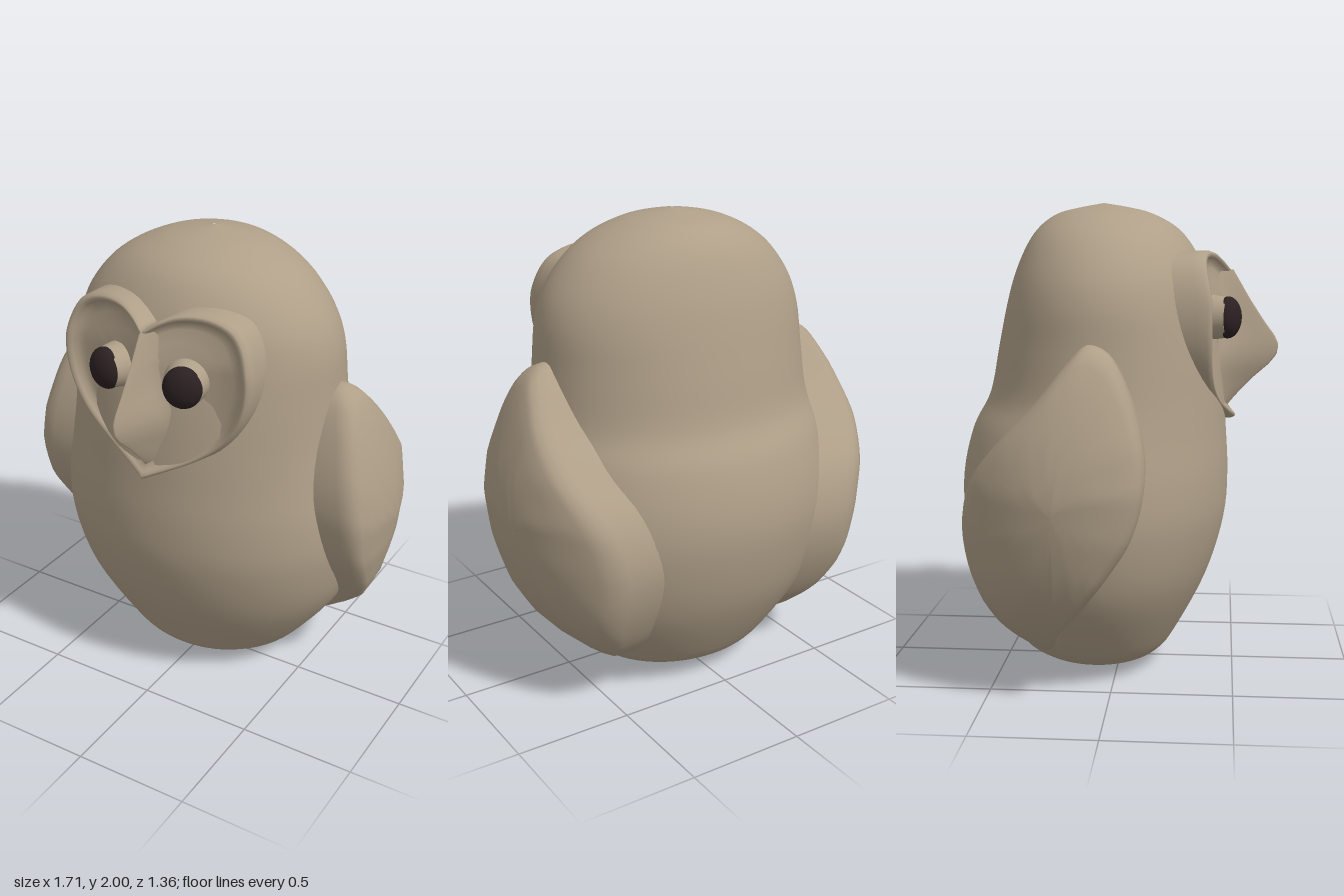
import * as THREE from 'three';

const feather = new THREE.MeshStandardMaterial({ color: 0xaf9f88 });
feather.name = 'feather';
const eyeDark = new THREE.MeshStandardMaterial({ color: 0x2b2022 });
eyeDark.name = 'eyeDark';

// Smooth skin over rings of points
function loft(name, rings, closed = true, material = feather) {
  const n = rings[0].length, index = [];
  for (let i = 0; i < rings.length - 1; i++) {
    for (let j = 0; j < (closed ? n : n - 1); j++) {
      const a = i * n + j, b = i * n + (j + 1) % n;
      index.push(a, a + n, b, b, a + n, b + n);
    }
  }
  const geo = new THREE.BufferGeometry().setFromPoints(rings.flat());
  geo.setIndex(index);
  geo.computeVertexNormals();
  const mesh = new THREE.Mesh(geo, material);
  mesh.name = name;
  return mesh;
}

const V = (x, y, z) => new THREE.Vector3(x, y, z);

// Piecewise linear table: [key, value] with rising keys
function table(rows, k) {
  if (k <= rows[0][0]) return rows[0][1];
  for (let i = 1; i < rows.length; i++) {
    const [k0, v0] = rows[i - 1], [k1, v1] = rows[i];
    if (k <= k1) return v0 + (v1 - v0) * (k - k0) / (k1 - k0);
  }
  return rows[rows.length - 1][1];
}

// Body and head: y, half width, front z, back z
function makeBody() {
  const rows = [
    [0, 0.005, -0.065, -0.075], [0.035, 0.25, 0.12, -0.28], [0.07, 0.35, 0.19, -0.38],
    [0.15, 0.45, 0.25, -0.46], [0.4, 0.63, 0.38, -0.6], [0.65, 0.70, 0.455, -0.67],
    [0.85, 0.70, 0.47, -0.68], [1.05, 0.66, 0.46, -0.635], [1.2, 0.625, 0.45, -0.56],
    [1.4, 0.605, 0.43, -0.52], [1.57, 0.59, 0.4, -0.485], [1.7, 0.545, 0.37, -0.45],
    [1.82, 0.455, 0.31, -0.4], [1.9, 0.35, 0.24, -0.345], [1.955, 0.23, 0.14, -0.27],
    [1.98, 0.13, 0.05, -0.18], [2, 0.005, -0.065, -0.075],
  ];
  const spine = new THREE.CatmullRomCurve3(rows.map(([y, w, f, b]) => V(w, y, (f + b) / 2)), false, 'catmullrom');
  const depth = new THREE.CatmullRomCurve3(rows.map(([y, , f, b]) => V((f - b) / 2, y, 0)), false, 'catmullrom');
  const rings = [];
  for (let i = 0; i <= 80; i++) {
    const s = spine.getPoint(i / 80), d = depth.getPoint(i / 80).x, ring = [];
    for (let j = 0; j < 72; j++) {
      const a = j / 72 * Math.PI * 2;
      ring.push(V(s.x * Math.cos(a), Math.max(0, s.y), s.z + d * Math.sin(a)));
    }
    rings.push(ring);
  }
  return loft('body', rings);
}

// Wing: leaf outline in (z, y), domed outward
function makeWing(side) {
  const leaf = [
    [-0.26, 0.15], [-0.19, 0.27], [-0.09, 0.41], [0.01, 0.55], [0.1, 0.7], [0.15, 0.9],
    [0.14, 1.08], [0.07, 1.3], [0, 1.41], [-0.08, 1.44], [-0.15, 1.38], [-0.27, 1.23],
    [-0.42, 1.07], [-0.55, 0.9], [-0.595, 0.7], [-0.56, 0.5], [-0.46, 0.3], [-0.35, 0.19],
  ];
  const outer = [[0.12, 0.46], [0.2, 0.53], [0.3, 0.645], [0.4, 0.73], [0.52, 0.79], [0.7, 0.835],
    [0.88, 0.855], [1.05, 0.83], [1.25, 0.765], [1.38, 0.71], [1.45, 0.66]];
  const outline = new THREE.CatmullRomCurve3(leaf.map(([z, y]) => V(0, y, z)), true).getPoints(72).slice(0, -1);
  // [scale of the outline, depth below the outer surface]
  const steps = [[0.97, 0.3], [0.99, 0.15], [1, 0.07], [0.99, 0.035], [0.95, 0.012], [0.88, 0],
    [0.7, 0], [0.5, 0], [0.3, 0], [0.12, 0], [0.001, 0]];
  const rings = steps.map(([s, drop]) => {
    const ring = outline.map((p) => {
      const y = 0.8 + (p.y - 0.8) * s, z = -0.2 + (p.z + 0.2) * s;
      const x = table(outer, y) * Math.sqrt(1 - ((z + 0.1) / 0.72) ** 2) - drop;
      return V(side * x, y, z);
    });
    return side > 0 ? ring : ring.reverse();
  });
  return loft(side > 0 ? 'leftWing' : 'rightWing', rings);
}

// Height of the facial disc rim
const rimZ = (x, y) => 0.4 + 0.1 * Math.max(0, 1 - Math.abs(x) / 0.43) ** 2 - 0.2 * Math.max(0, y - 1.6);

// Heart-shaped facial disc with raised rim
function makeFace() {
  const half = new THREE.CatmullRomCurve3([
    [0, 1.725], [0.06, 1.765], [0.14, 1.795], [0.26, 1.795], [0.36, 1.755], [0.415, 1.67], [0.435, 1.55],
    [0.41, 1.41], [0.335, 1.28], [0.2, 1.175], [0.08, 1.115], [0, 1.08],
  ].map(([x, y]) => V(x, y, 0))).getPoints(44);
  const heart = [...half, ...half.slice(1, -1).reverse().map((p) => V(-p.x, p.y, 0))];
  const steps = [[0.99, 0.25], [1, 0.06], [1, 0.02], [0.98, 0.002], [0.95, 0], [0.92, 0.01], [0.88, 0.03],
    [0.8, 0.037], [0.65, 0.037], [0.5, 0.036], [0.35, 0.035], [0.2, 0.035], [0.1, 0.035], [0.001, 0.035]];
  return loft('facialDisc', steps.map(([s, drop]) => heart.map((p) => {
    const x = p.x * s, y = 1.45 + (p.y - 1.45) * s;
    return V(x, y, rimZ(x, y) - drop);
  })));
}

// Beak with a ridge running up between the eyes
function makeBeak() {
  const ridge = [[1.12, 0.45], [1.18, 0.5], [1.25, 0.565], [1.32, 0.645], [1.36, 0.675], [1.4, 0.682],
    [1.44, 0.665], [1.5, 0.62], [1.6, 0.555], [1.72, 0.485]];
  const rings = [];
  for (let i = 0; i <= 40; i++) {
    const y = 1.12 + 0.6 * i / 40, row = [];
    const width = 0.028 + 0.018 * Math.exp(-(((y - 1.33) / 0.13) ** 2));
    for (let j = 0; j <= 24; j++) {
      const u = 1 - j / 12, x = 0.13 * Math.sign(u) * Math.abs(u) ** 1.6;
      const base = rimZ(x, y) - 0.048;
      const lift = Math.max(0, table(ridge, y) - rimZ(0, y) + 0.048);
      row.push(V(x, y, base + lift * Math.exp(-((Math.abs(x) / width) ** 1.2))));
    }
    rings.push(row);
  }
  return loft('beak', rings, false);
}

// Eye: dark dome in a short lid ring
function makeEye(side) {
  const eye = new THREE.Group();
  eye.name = side > 0 ? 'leftEye' : 'rightEye';
  const lid = new THREE.Mesh(new THREE.CylinderGeometry(0.083, 0.098, 0.1, 32), feather);
  lid.name = 'eyelid';
  lid.rotation.x = Math.PI / 2;
  lid.position.z = -0.045;
  const ball = new THREE.Mesh(new THREE.SphereGeometry(1, 32, 20), eyeDark);
  ball.name = 'eyeball';
  ball.scale.set(0.081, 0.087, 0.055);
  eye.add(lid, ball);
  eye.position.set(side * 0.18, 1.525, 0.463);
  eye.rotation.y = side * 0.3;
  return eye;
}

export function createModel() {
  const owl = new THREE.Group();
  owl.name = 'owl';
  owl.add(makeBody(), makeFace(), makeBeak());
  for (const side of [1, -1]) owl.add(makeWing(side), makeEye(side));
  return owl;
}
